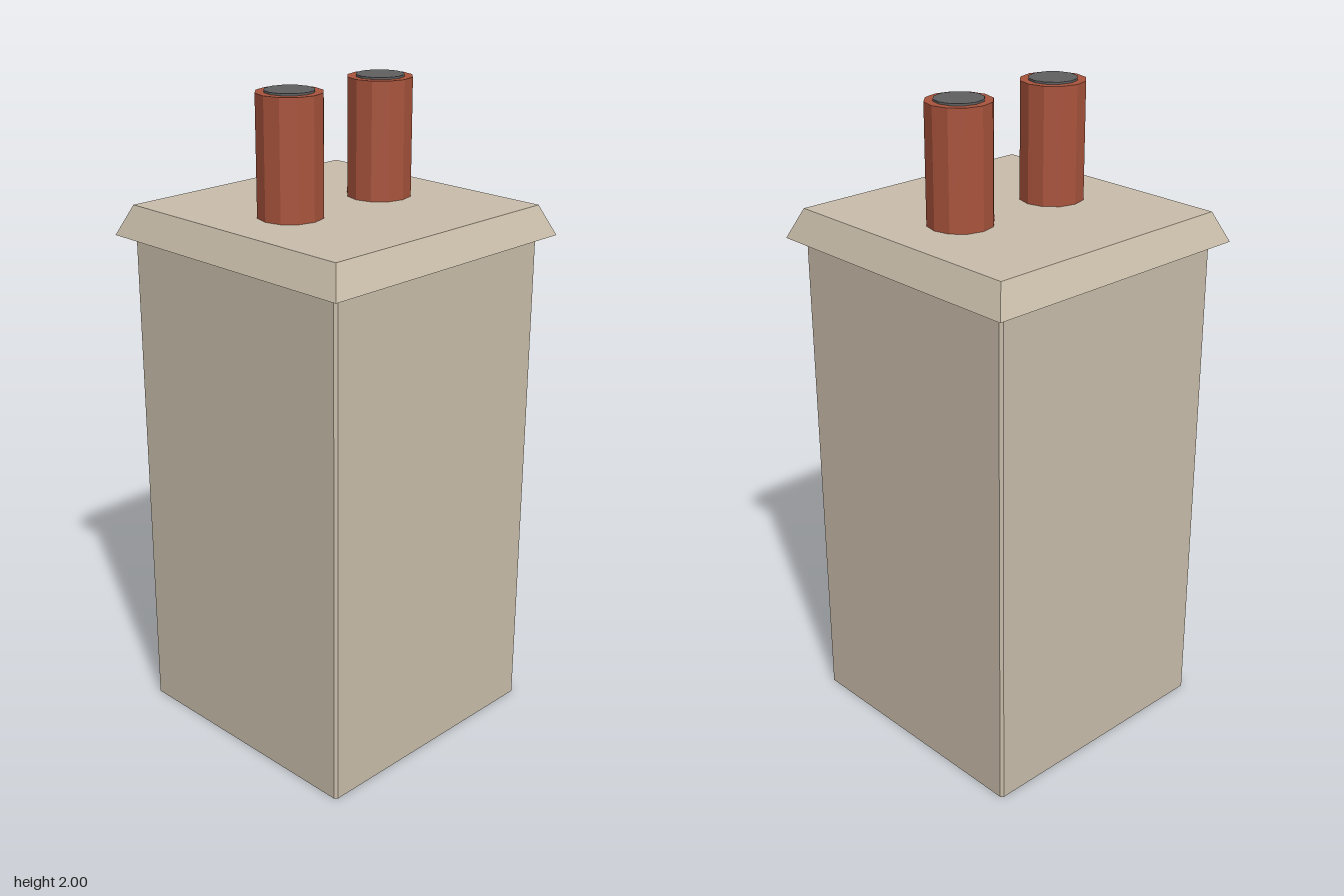
import * as THREE from 'three';

export function createModel() {
  const stone = new THREE.MeshStandardMaterial({ name: 'stone', color: 0xcabeab, flatShading: true });
  const clay = new THREE.MeshStandardMaterial({ name: 'terracotta', color: 0xa9543c, flatShading: true });
  const soot = new THREE.MeshStandardMaterial({ name: 'soot', color: 0x606060, flatShading: true });

  const chimney = new THREE.Group();
  chimney.name = 'chimney';

  function add(name, geometry, material, x, y) {
    const mesh = new THREE.Mesh(geometry, material);
    mesh.name = name;
    mesh.position.set(x, y, 0);
    chimney.add(mesh);
    return mesh;
  }

  // Square shaft with narrow chamfers on its upright edges
  const half = 0.415, chamfer = 0.008, shaftTop = 1.555;
  const inner = half - chamfer;
  const outline = new THREE.Shape([
    [half, -inner], [half, inner], [inner, half], [-inner, half],
    [-half, inner], [-half, -inner], [-inner, -half], [inner, -half],
  ].map(([x, y]) => new THREE.Vector2(x, y)));
  const shaft = new THREE.ExtrudeGeometry(outline, { depth: shaftTop, bevelEnabled: false });
  shaft.rotateX(-Math.PI / 2);
  add('shaft', shaft, stone, 0, 0);

  // Overhanging cap that tapers towards the top
  const capHeight = 0.09;
  const cap = new THREE.CylinderGeometry(0.415 * Math.SQRT2, 0.455 * Math.SQRT2, capHeight, 4);
  cap.rotateY(Math.PI / 4);
  add('cap', cap, stone, 0, shaftTop + capHeight / 2);

  // Pair of twelve-sided pots with dark flue openings
  const potBase = shaftTop + capHeight, potTop = 1.994;
  const potHeight = potTop - potBase;
  for (const [side, x] of [['left', 0.18], ['right', -0.18]]) {
    add(side + 'Pot', new THREE.CylinderGeometry(0.097, 0.097, potHeight, 12), clay, x, potBase + potHeight / 2);
    add(side + 'Flue', new THREE.CylinderGeometry(0.072, 0.072, 0.006, 12), soot, x, potTop + 0.003);
  }

  return chimney;
}
